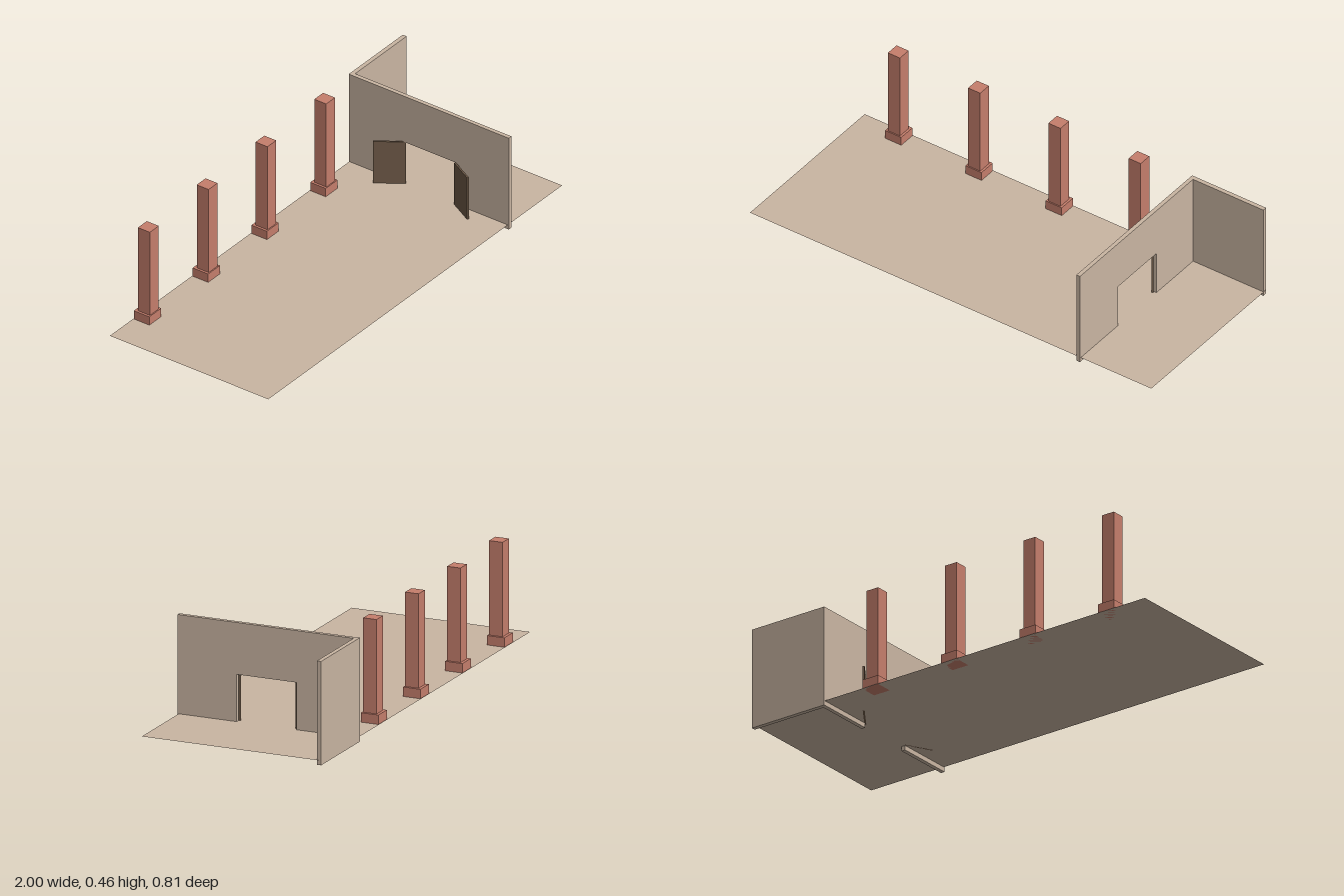
import * as THREE from 'three';

const FLOOR = 0.02;

export function createModel() {
  const mat = (name, color) => {
    const m = new THREE.MeshStandardMaterial({ color });
    m.name = name;
    return m;
  };
  const plaster = mat('beige plaster', 0xc9b5a2);
  const brick = mat('terracotta', 0xc57e6c);
  const wood = mat('dark wood', 0x6b5745);
  const ground = plaster.clone();
  ground.name = 'beige floor';
  ground.side = THREE.DoubleSide;

  const model = new THREE.Group();
  model.name = 'courtyard';

  // Box standing on a given height
  const box = (name, w, h, d, x, y, z, material, parent = model) => {
    const mesh = new THREE.Mesh(new THREE.BoxGeometry(w, h, d), material);
    mesh.name = name;
    mesh.position.set(x, y + h / 2, z);
    parent.add(mesh);
    return mesh;
  };

  // Floor sheet
  const floor = new THREE.Mesh(new THREE.PlaneGeometry(2, 0.8).rotateX(-Math.PI / 2), ground);
  floor.name = 'floor';
  floor.position.y = FLOOR;
  model.add(floor);

  // Row of columns along the back edge
  [-0.8, -0.4, 0, 0.4].forEach((x) => {
    const column = new THREE.Group();
    column.name = 'column';
    column.position.x = x;
    box('columnBase', 0.08, 0.04, 0.078, 0, FLOOR, -0.358, brick, column);
    box('columnShaft', 0.06, 0.44, 0.06, 0, FLOOR, -0.354, brick, column);
    model.add(column);
  });

  // Wall with a doorway, outlined in z and y
  const outline = [
    [-0.384, 0], [-0.128, 0], [-0.128, 0.22], [0.14, 0.22],
    [0.14, 0], [0.405, 0], [0.405, 0.44], [-0.384, 0.44],
  ].map(([z, y]) => new THREE.Vector2(z, y));
  const wallGeometry = new THREE.ExtrudeGeometry(new THREE.Shape(outline), {
    depth: 0.018, bevelEnabled: false,
  });
  wallGeometry.rotateY(-Math.PI / 2);
  const doorwayWall = new THREE.Mesh(wallGeometry, plaster);
  doorwayWall.name = 'doorwayWall';
  doorwayWall.position.x = 0.648;
  model.add(doorwayWall);

  // Back wall of the entrance
  box('backWall', 0.368, 0.44, 0.019, 0.814, 0, -0.3935, plaster);

  // Open door leaves, each from hinge to tip in x and z
  const door = (name, hx, hz, tx, tz) => {
    const leaf = box(name, Math.hypot(tx - hx, tz - hz), 0.2, 0.008,
      (hx + tx) / 2, FLOOR, (hz + tz) / 2, wood);
    leaf.rotation.y = -Math.atan2(tz - hz, tx - hx);
  };
  door('rearDoor', 0.636, -0.119, 0.561, -0.229);
  door('frontDoor', 0.628, 0.135, 0.569, 0.244);

  return model;
}
